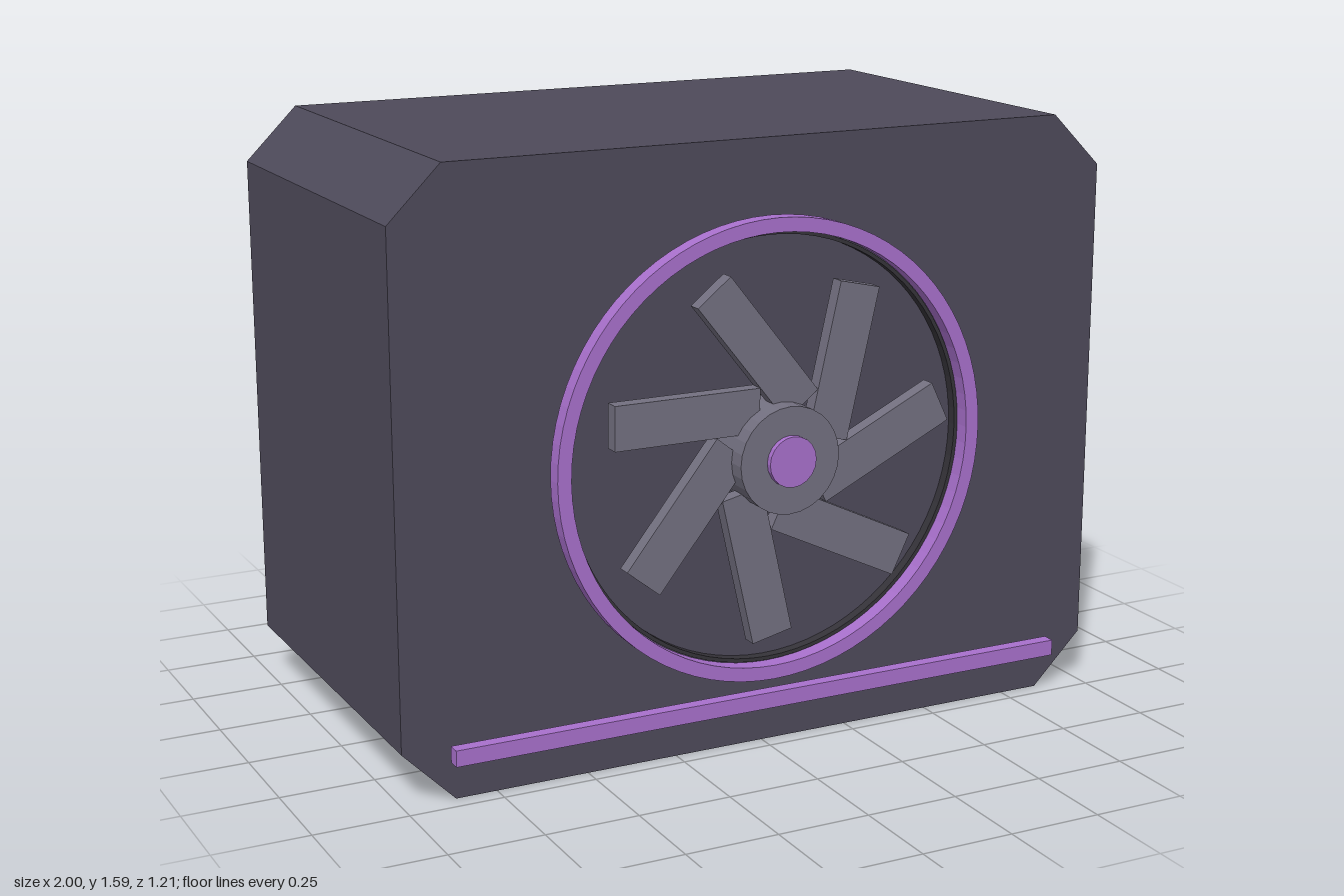
import * as THREE from 'three';

const CY = 0.795; // height of the fan axis

function material(name, color) {
  const m = new THREE.MeshStandardMaterial({ color });
  m.name = name;
  m.flatShading = true;
  return m;
}

export function createModel() {
  const model = new THREE.Group();
  model.name = 'fanBox';
  const casing = material('casing grey', 0x4e4a5a);
  const dark = material('dark grey', 0x353339);
  const metal = material('fan grey', 0x737080);
  const accent = material('purple', 0xa870cc);

  const add = (name, geometry, mat, x = 0, y = 0, z = 0) => {
    const mesh = new THREE.Mesh(geometry, mat);
    mesh.name = name;
    mesh.position.set(x, y, z);
    model.add(mesh);
    return mesh;
  };

  // Flat ring facing the front, from z0 to z1
  const ring = (name, outer, inner, z0, z1, mat) => {
    const shape = new THREE.Shape().absarc(0, 0, outer, 0, Math.PI * 2);
    shape.holes.push(new THREE.Path().absarc(0, 0, inner, 0, Math.PI * 2, true));
    const geometry = new THREE.ExtrudeGeometry(shape, { depth: z1 - z0, bevelEnabled: false, curveSegments: 40 });
    add(name, geometry, mat, 0, CY, z0);
  };

  // Round plug facing the front, from z0 to z1
  const plug = (name, radius, z0, z1, mat, sides) => {
    const geometry = new THREE.CylinderGeometry(radius, radius, z1 - z0, sides).rotateX(Math.PI / 2);
    add(name, geometry, mat, 0, CY, (z0 + z1) / 2);
  };

  // Casing: a block with its four long edges cut off
  const w = 1, h = 1.59, c = 0.14;
  const outline = new THREE.Shape([
    [-w + c, 0], [w - c, 0], [w, c], [w, h - c],
    [w - c, h], [-w + c, h], [-w, h - c], [-w, c],
  ].map(([x, y]) => new THREE.Vector2(x, y)));
  add('casing', new THREE.ExtrudeGeometry(outline, { depth: 1.058, bevelEnabled: false }), casing, 0, 0, -0.605);

  // Fan surround
  ring('innerRim', 0.565, 0.555, 0.45, 0.48, dark);
  ring('accentRing', 0.604, 0.567, 0.476, 0.52, accent);

  // Seven offset blades around the hub
  const bladeCount = 7;
  for (let i = 0; i < bladeCount; i++) {
    const blade = new THREE.BoxGeometry(0.4, 0.115, 0.04).translate(-0.26, 0.125, 0);
    add('blade' + (i + 1), blade, metal, 0, CY, 0.522).rotation.z = (i / bladeCount) * Math.PI * 2;
  }
  plug('hub', 0.14, 0.45, 0.592, metal, 28);
  plug('hubCap', 0.066, 0.58, 0.608, accent, 20);

  // Light strip along the bottom of the front
  add('lightStrip', new THREE.BoxGeometry(1.755, 0.043, 0.035), accent, 0, 0.127, 0.488);

  return model;
}
